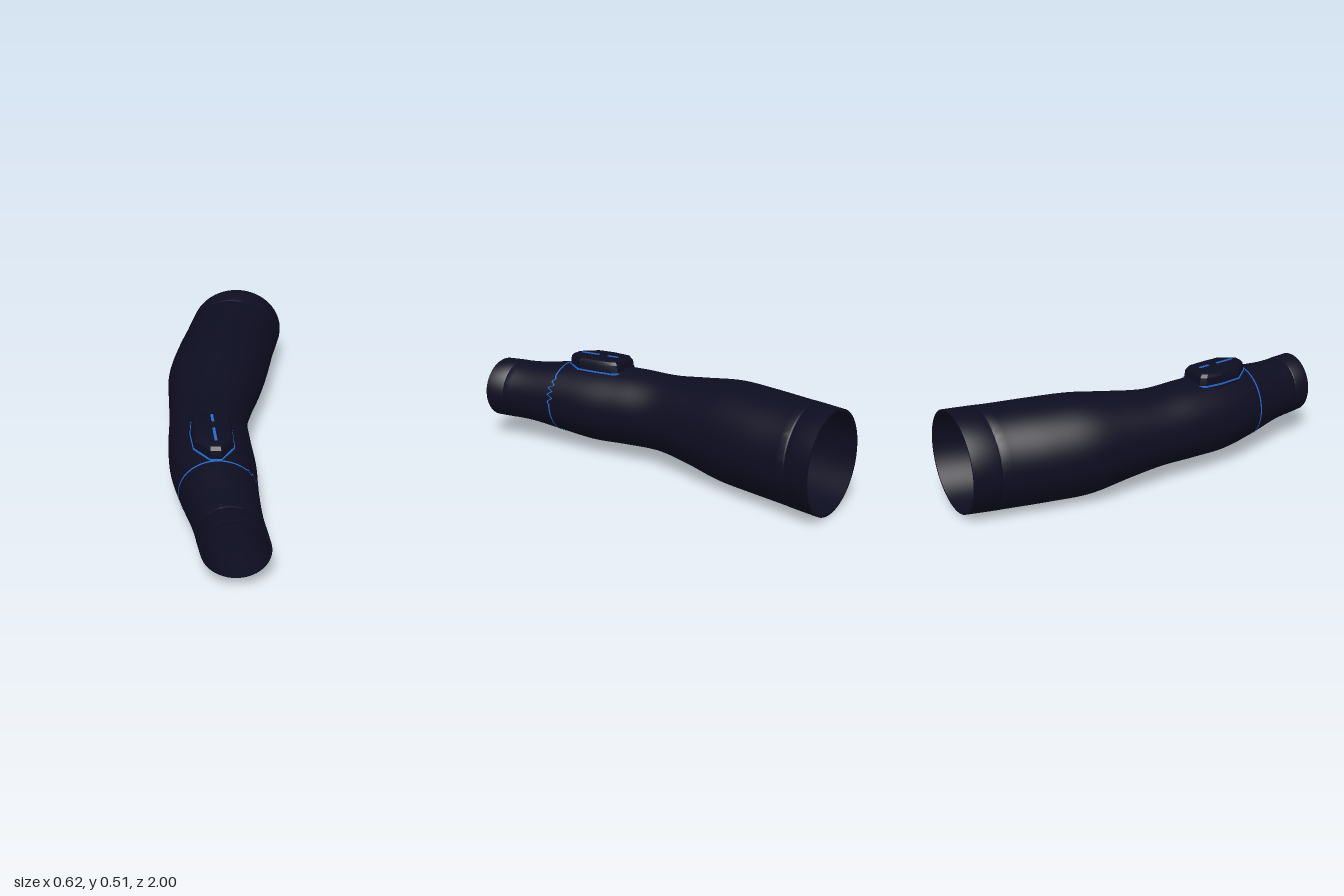
import * as THREE from 'three';
import { toCreasedNormals } from 'three/addons/utils/BufferGeometryUtils.js';

// Sleeve sections every 0.2 along z from -1 to 1: xMin, xMax, yMin, yMax
const SECTIONS = [
  [-0.2, 0.308, 0.006, 0.513], [-0.24, 0.267, 0.003, 0.513], [-0.282, 0.235, 0.002, 0.514],
  [-0.309, 0.195, 0.004, 0.511], [-0.297, 0.145, 0.035, 0.484], [-0.285, 0.11, 0.06, 0.459],
  [-0.28, 0.125, 0.057, 0.461], [-0.262, 0.15, 0.051, 0.457], [-0.212, 0.158, 0.071, 0.446],
  [-0.15, 0.175, 0.098, 0.421], [-0.105, 0.209, 0.102, 0.418],
];
const curveOf = (fn) => new THREE.CatmullRomCurve3(SECTIONS.map(fn), false, 'catmullrom', 0.5);
const centres = curveOf(([a, b, c, d]) => new THREE.Vector3((a + b) / 2, (c + d) / 2, 0));
const radii = curveOf(([a, b, c, d]) => new THREE.Vector3((b - a) / 2, (d - c) / 2, 0));

// Point on the sleeve at height z along the arm, angle a, pushed out by offset
function sleevePoint(z, a, offset) {
  const t = THREE.MathUtils.clamp((z + 1) / 2, 0, 1);
  const c = centres.getPoint(t), r = radii.getPoint(t);
  return [c.x + (r.x + offset) * Math.cos(a), c.y + (r.y + offset) * Math.sin(a), z];
}

// Skin rows x columns of points; columns always wrap, rows wrap if closed
function loft(rows, cols, pointAt, closed, crease) {
  const pos = [], index = [];
  for (let i = 0; i < rows; i++) for (let j = 0; j < cols; j++) pos.push(...pointAt(i, j));
  for (let i = 0; i < (closed ? rows : rows - 1); i++) {
    for (let j = 0; j < cols; j++) {
      const k = (j + 1) % cols, n = (i + 1) % rows;
      const a = i * cols + j, b = i * cols + k, c = n * cols + k, d = n * cols + j;
      index.push(a, b, d, b, c, d);
    }
  }
  const geo = new THREE.BufferGeometry();
  geo.setAttribute('position', new THREE.Float32BufferAttribute(pos, 3));
  geo.setIndex(index);
  return toCreasedNormals(geo, crease);
}

export function createModel() {
  const group = new THREE.Group();
  const navy = new THREE.MeshStandardMaterial({ name: 'navy fabric', color: 0x0d0d21 });
  const blue = new THREE.MeshStandardMaterial({ name: 'blue trim', color: 0x2468d0, side: THREE.DoubleSide });
  const add = (name, geo, mat) => {
    const mesh = new THREE.Mesh(geo, mat);
    mesh.name = name;
    group.add(mesh);
    return mesh;
  };

  // Sleeve: outer skin with slightly raised hems, then the inner skin back again
  const profile = [[-1, 0], [-0.875, 0.001], [-0.868, -0.003], [-0.861, 0.001]];
  for (let z = -0.82; z < 0.87; z += 0.04) profile.push([z, 0]);
  profile.push([0.893, 0], [0.9, -0.003], [0.907, 0.001], [1, 0]);
  for (let i = 0; i <= 40; i++) profile.push([1 - i * 0.05, -0.01]);
  const SIDES = 72;
  add('sleeve', loft(profile.length, SIDES, (i, j) =>
    sleevePoint(profile[i][0], (j / SIDES) * Math.PI * 2, profile[i][1]), true, 0.8), navy);

  // Blue seam around the forearm, with a zigzag on the left side
  const zigzag = [0, 0.012, -0.02, 0.018, -0.012, 0.02, -0.018, 0.008, -0.01, 0];
  const seamShift = (a) => {
    const s = (a / 0.85) * (zigzag.length - 1), k = Math.floor(s);
    return k >= zigzag.length - 1 ? 0 : THREE.MathUtils.lerp(zigzag[k], zigzag[k + 1], s - k);
  };
  const SEAM = 216;
  add('forearmSeam', loft(2, SEAM, (i, j) => {
    const a = (j / SEAM) * Math.PI * 2;
    return sleevePoint(0.6 + seamShift(a) + (i - 0.5) * 0.009, a, 0.003);
  }, false, 0.8), blue);

  // Pod outline seen from above, counterclockwise
  const outline = [
    [0.045, 0.49], [0.035, 0.37], [0.022, 0.285], [0.005, 0.258], [-0.14, 0.258],
    [-0.163, 0.285], [-0.165, 0.38], [-0.145, 0.5], [-0.065, 0.588], [-0.012, 0.588],
  ];
  const PX = -0.06, PZ = 0.42;
  const podLoft = (levels, closed) => loft(levels.length, outline.length, (i, j) => {
    const [y, s] = levels[i], [x, z] = outline[j];
    return [PX + (x - PX) * s, y, PZ + (z - PZ) * s];
  }, closed, 0.4);

  // Pod body with bevelled shoulders, and its trim line
  add('pod', podLoft([[0.4, 0.97], [0.445, 0.98], [0.488, 0.95], [0.504, 0.87], [0.511, 0.7], [0.511, 0]], false), navy);
  add('podTrim', podLoft([[0.441, 0.96], [0.441, 1.02], [0.449, 1.02], [0.449, 0.96]], true), blue);

  // Two light strips on the pod
  for (const [x, z, length] of [[-0.06, 0.34, 0.06], [-0.046, 0.475, 0.105]]) {
    const strip = add('podLight', new THREE.BoxGeometry(0.013, 0.006, length), blue);
    strip.position.set(x, 0.511, z);
    strip.rotation.y = 0.12;
  }
  return group;
}
